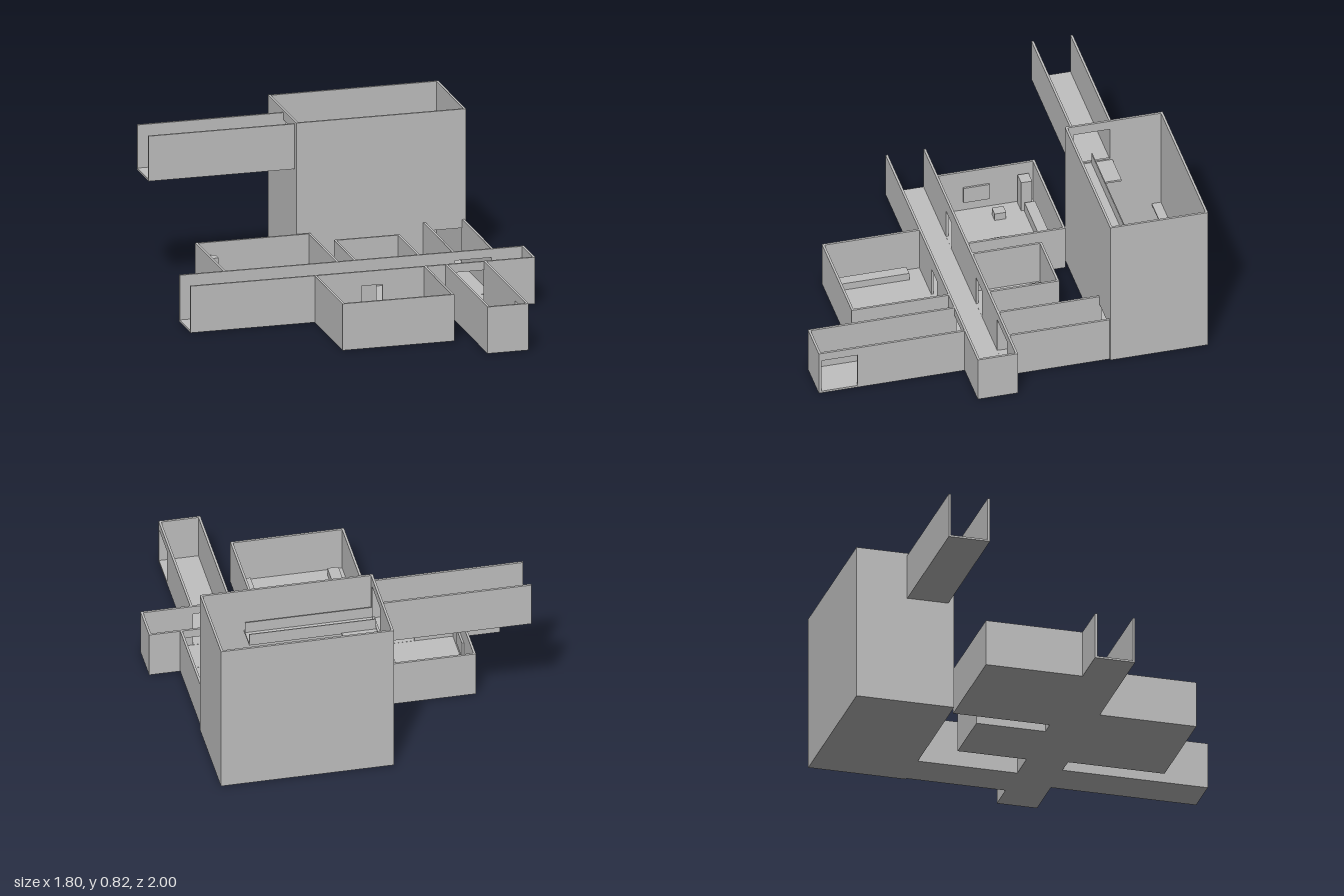
import * as THREE from 'three';

const T = 0.012;   // wall thickness
const F = 0.01;    // floor thickness
const H = 0.245;   // lower wall height

export function createModel() {
  const model = new THREE.Group();
  const grey = new THREE.MeshStandardMaterial({ color: 0xc0c0c0 });
  grey.name = 'plain grey';

  const add = (parent, name, geometry) => {
    const mesh = new THREE.Mesh(geometry, grey);
    mesh.name = name;
    parent.add(mesh);
    return mesh;
  };
  const group = (name) => {
    const g = new THREE.Group();
    g.name = name;
    model.add(g);
    return g;
  };
  // box given by its limits
  const box = (parent, name, x0, x1, y0, y1, z0, z1) =>
    add(parent, name, new THREE.BoxGeometry(x1 - x0, y1 - y0, z1 - z0)
      .translate((x0 + x1) / 2, (y0 + y1) / 2, (z0 + z1) / 2));

  // upright wall from a to b along an axis, with rectangular doorways [from, to, bottom, top]
  const wall = (parent, axis, p, a, b, y0, y1, doors = []) => {
    const rect = (C, u0, u1, v0, v1) => new C([[u0, v0], [u1, v0], [u1, v1], [u0, v1]]
      .map(([u, v]) => new THREE.Vector2(u, v)));
    const shape = rect(THREE.Shape, a, b, y0, y1);
    for (const d of doors) shape.holes.push(rect(THREE.Path, ...d));
    const geo = new THREE.ExtrudeGeometry(shape, { depth: T, bevelEnabled: false });
    if (axis === 'z') geo.rotateY(-Math.PI / 2).translate(p + T, 0, 0);
    else geo.translate(0, 0, p);
    add(parent, 'wall', geo);
  };

  // open-topped room; walls maps a side to its doorways, missing sides stay open
  const room = (name, x0, x1, z0, z1, y0, y1, walls) => {
    const g = group(name);
    box(g, 'floor', x0, x1, y0, y0 + F, z0, z1);
    const base = y0 + F;
    if (walls.left) wall(g, 'z', x0, z0, z1, base, y1, walls.left);
    if (walls.right) wall(g, 'z', x1 - T, z0, z1, base, y1, walls.right);
    const xa = walls.left ? x0 + T : x0, xb = walls.right ? x1 - T : x1;
    if (walls.back) wall(g, 'x', z0, xa, xb, base, y1, walls.back);
    if (walls.front) wall(g, 'x', z1 - T, xa, xb, base, y1, walls.front);
    return g;
  };

  // main corridor with doorways to every neighbouring room
  const low = F + 0.001, door = 0.17, gate = 0.2;
  room('mainCorridor', -0.905, 0.9, 0.03, 0.24, 0, H, {
    right: [],
    back: [[-0.465, -0.355, low, door], [0.125, 0.235, low, door], [0.537, 0.728, low, gate]],
    front: [[-0.01, 0.1, low, door], [0.442, 0.633, low, gate]],
  });

  // rooms and side corridors on the ground level
  const none = [];
  const living = room('livingRoom', -0.675, -0.07, -0.475, 0.03, 0, H, { left: none, right: none, back: none });
  const small = room('smallRoom', 0.01, 0.355, -0.33, 0.03, 0, H, { left: none, right: none, back: none });
  const bench = room('benchRoom', -0.255, 0.33, 0.24, 0.745, 0, H, { left: none, right: none, front: none });
  room('backCorridor', 0.525, 0.74, -0.49, 0.03, 0, H, { left: none, right: none });
  room('frontCorridor', 0.43, 0.645, 0.24, 1, 0, H, {
    left: none, right: [[0.798, 0.987, low, gate]], front: none,
  });

  // tall hall and the raised corridor leading out of it
  const hall = room('tallHall', -0.14, 0.75, -1, -0.49, 0, 0.825, {
    left: [[-0.722, -0.533, 0.592, 0.775]], right: none, back: none,
    front: [[0.537, 0.728, low, gate]],
  });
  room('upperCorridor', -0.905, -0.14, -0.735, -0.52, 0.575, 0.812, { back: none, front: none });

  // gallery with railings inside the hall
  box(hall, 'gallery', -0.128, 0.525, 0.575, 0.585, -0.625, -0.502);
  box(hall, 'galleryLanding', -0.128, 0.05, 0.575, 0.585, -0.735, -0.625);
  for (const z of [-0.63, -0.525]) box(hall, 'galleryRail', -0.128, 0.525, 0.585, 0.645, z, z + 0.005);

  // stepped ramp: side profile swept across its width
  const profile = [[-0.64, 0.01], [-0.77, 0.2], [-0.81, 0.2], [-0.94, 0.27], [-0.988, 0.27], [-0.988, 0.01]];
  const ramp = new THREE.ExtrudeGeometry(
    new THREE.Shape(profile.map(([z, y]) => new THREE.Vector2(z, y))),
    { depth: 0.235, bevelEnabled: false });
  add(hall, 'ramp', ramp.rotateY(-Math.PI / 2).translate(0.285, 0, 0));
  for (const [a, b] of [[-0.128, 0.05], [0.285, 0.738]])
    box(hall, 'rampTerrace', a, b, 0.26, 0.27, -0.988, -0.94);

  // living room furniture
  box(living, 'cabinet', -0.65, -0.58, F, 0.185, -0.437, -0.38);
  box(living, 'counter', -0.57, -0.215, F, 0.065, -0.45, -0.395);
  box(living, 'stool', -0.59, -0.535, F, 0.05, -0.29, -0.23);
  box(living, 'table', -0.315, -0.185, F, 0.07, -0.222, -0.155);
  for (const x of [-0.315, -0.23]) box(living, 'chair', x, x + 0.045, F, 0.045, -0.265, -0.226);
  box(living, 'wallPanel', -0.663, -0.653, 0.06, 0.15, -0.235, -0.1);

  // small room furniture
  box(small, 'bed', 0.095, 0.27, F, 0.06, -0.305, -0.245);
  box(small, 'wallPanel', 0.333, 0.343, 0.06, 0.15, -0.155, -0.06);

  // long benches along both sides
  for (const x of [-0.215, 0.238]) box(bench, 'longBench', x, x + 0.057, F, 0.05, 0.315, 0.69);

  return model;
}
